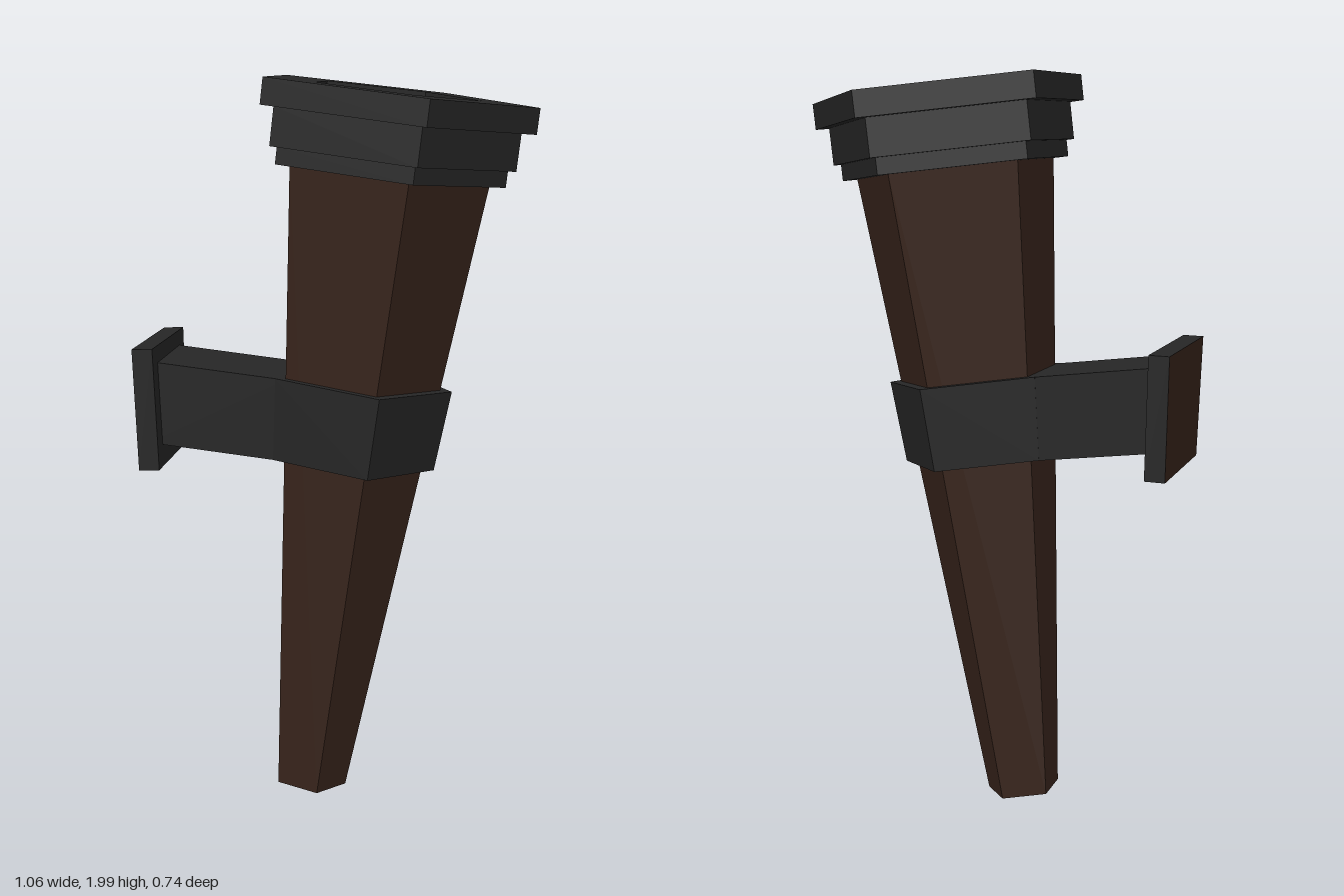
import * as THREE from 'three';

const iron = new THREE.MeshStandardMaterial({ color: 0x262626, flatShading: true });
const wood = new THREE.MeshStandardMaterial({ color: 0x38241b, flatShading: true });

// Five-sided solid from a [radius, height] profile, one corner towards +x
function pentagon(name, material, profile) {
  const points = profile.map(([r, y]) => new THREE.Vector2(r, y));
  const mesh = new THREE.Mesh(new THREE.LatheGeometry(points, 5, Math.PI / 2), material);
  mesh.name = name;
  return mesh;
}

// Box whose depth narrows towards the bottom
function taperedBox(name, material, w, h, d, bottomScale) {
  const geometry = new THREE.BoxGeometry(w, h, d);
  const p = geometry.attributes.position;
  for (let i = 0; i < p.count; i++) {
    if (p.getY(i) < 0) p.setZ(i, p.getZ(i) * bottomScale);
  }
  geometry.computeVertexNormals();
  const mesh = new THREE.Mesh(geometry, material);
  mesh.name = name;
  return mesh;
}

export function createModel() {
  const model = new THREE.Group();
  model.name = 'wallTorch';

  // Everything along the leaning axis of the torch
  const torch = new THREE.Group();
  torch.name = 'torch';
  torch.position.set(-0.092, 0.017, -0.02);
  torch.rotation.set(0.01, 0, -0.118);
  model.add(torch);

  // Tapered wooden handle
  torch.add(pentagon('handle', wood, [[0, 0], [0.103, 0], [0.286, 1.75], [0, 1.75]]));

  // Stepped collar under the rim
  torch.add(pentagon('collar', iron, [
    [0, 1.74], [0.328, 1.74], [0.328, 1.785], [0.35, 1.785], [0.35, 1.887],
  ]));

  // Rim with a sunken bowl
  torch.add(pentagon('rim', iron, [
    [0.34, 1.887], [0.39, 1.887], [0.39, 1.957], [0.237, 1.957], [0.237, 1.88], [0, 1.88],
  ]));

  // Band gripping the handle
  torch.add(pentagon('band', iron, [[0.19, 0.952], [0.237, 0.952], [0.258, 1.176], [0.19, 1.176]]));

  // Arm from the band back to the wall
  const arm = taperedBox('bracketArm', iron, 0.35, 0.224, 0.302, 0.92);
  arm.position.set(-0.355, 1.064, 0);
  torch.add(arm);

  // Wall plate, with wood on its hidden wall side
  const plate = taperedBox('wallPlate', [iron, wood, iron, iron, iron, iron], 0.055, 0.33, 0.43, 0.93);
  plate.position.set(-0.502, 1.125, -0.01);
  plate.rotation.z = 0.03;
  model.add(plate);

  return model;
}
